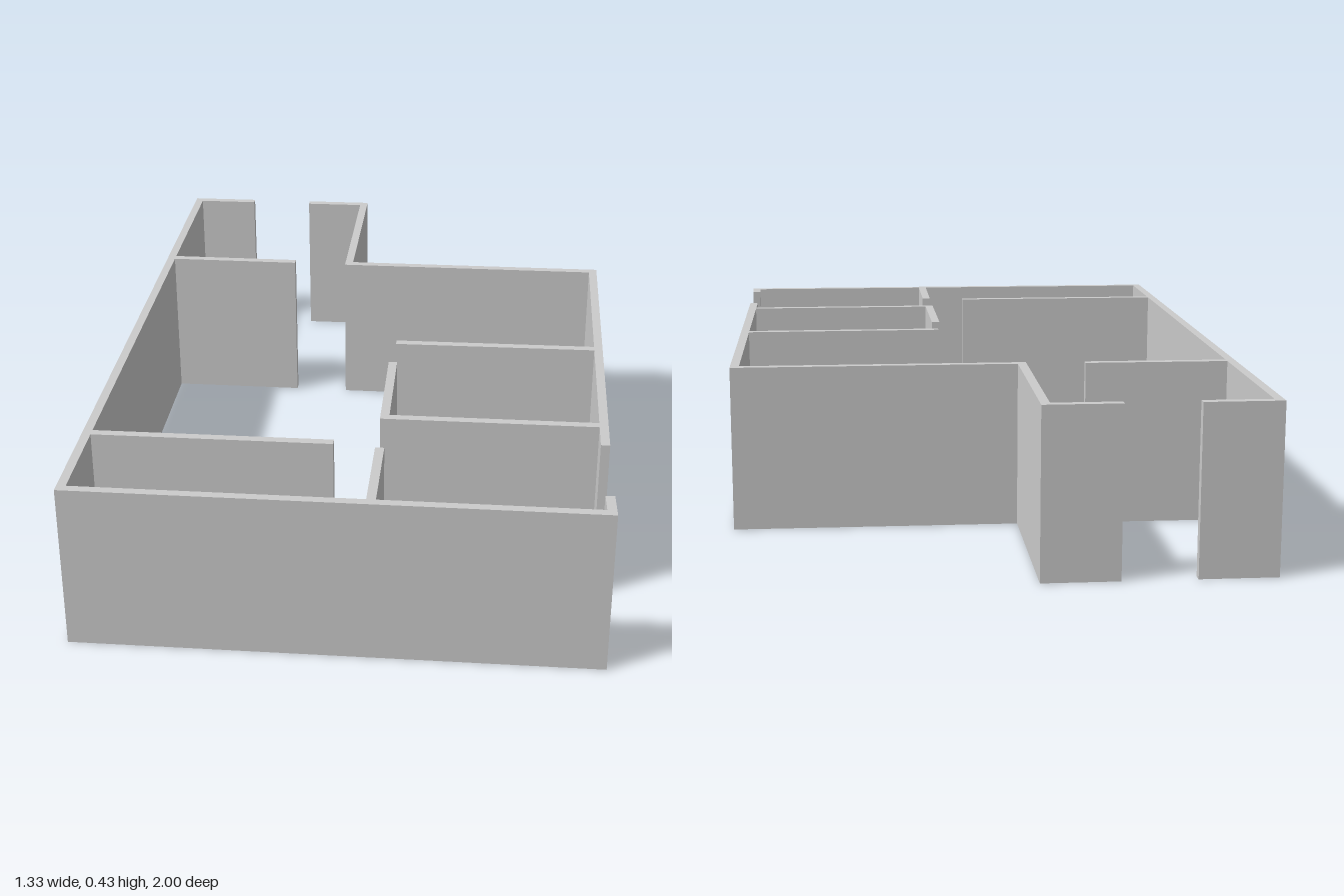
import * as THREE from 'three';

const HEIGHT = 0.43;
const HALF = 0.0115; // half the wall thickness

// Outline of a constant-thickness strip with mitred corners along [x, z] points
function stripOutline(path) {
  const pts = path.map(([x, z]) => new THREE.Vector2(x, -z));
  const left = [], right = [];
  pts.forEach((p, i) => {
    const a = pts[Math.max(i - 1, 0)], b = pts[Math.min(i + 1, pts.length - 1)];
    const d1 = (i > 0 ? p.clone().sub(a) : b.clone().sub(p)).normalize();
    const d2 = (i < pts.length - 1 ? b.clone().sub(p) : d1.clone()).normalize();
    const n1 = new THREE.Vector2(-d1.y, d1.x), n2 = new THREE.Vector2(-d2.y, d2.x);
    const m = n1.clone().add(n2).normalize();
    m.multiplyScalar(HALF / m.dot(n1));
    left.push(p.clone().add(m));
    right.unshift(p.clone().sub(m));
  });
  return [...left, ...right];
}

export function createModel() {
  const group = new THREE.Group();
  group.name = 'floorPlanWalls';
  const material = new THREE.MeshStandardMaterial({ color: 0xcccccc });

  const walls = {
    // outer shell, in two runs separated by the two doorways
    leftAndFrontOuterWall: [[-0.46, -0.988], [-0.645, -0.988], [-0.655, 0.973], [0.64, 0.987], [0.638, 0.91]],
    backAndRightOuterWall: [[-0.275, -0.988], [-0.092, -0.988], [-0.096, -0.465], [0.648, -0.461], [0.638, 0.66]],
    // interior partitions
    hallPartition: [[-0.645, -0.472], [-0.262, -0.468]],
    bedroomPartition: [[0.085, 0.097], [0.643, 0.097]],
    bathroomPartition: [[0.084, 0.225], [0.084, 0.549], [0.638, 0.553]],
    kitchenPartition: [[-0.652, 0.69], [-0.033, 0.694]],
    entryPartition: [[0.083, 0.715], [0.081, 0.98]],
  };

  for (const [name, path] of Object.entries(walls)) {
    const geometry = new THREE.ExtrudeGeometry(new THREE.Shape(stripOutline(path)), {
      depth: HEIGHT, bevelEnabled: false,
    });
    geometry.rotateX(-Math.PI / 2);
    const mesh = new THREE.Mesh(geometry, material);
    mesh.name = name;
    group.add(mesh);
  }
  return group;
}
